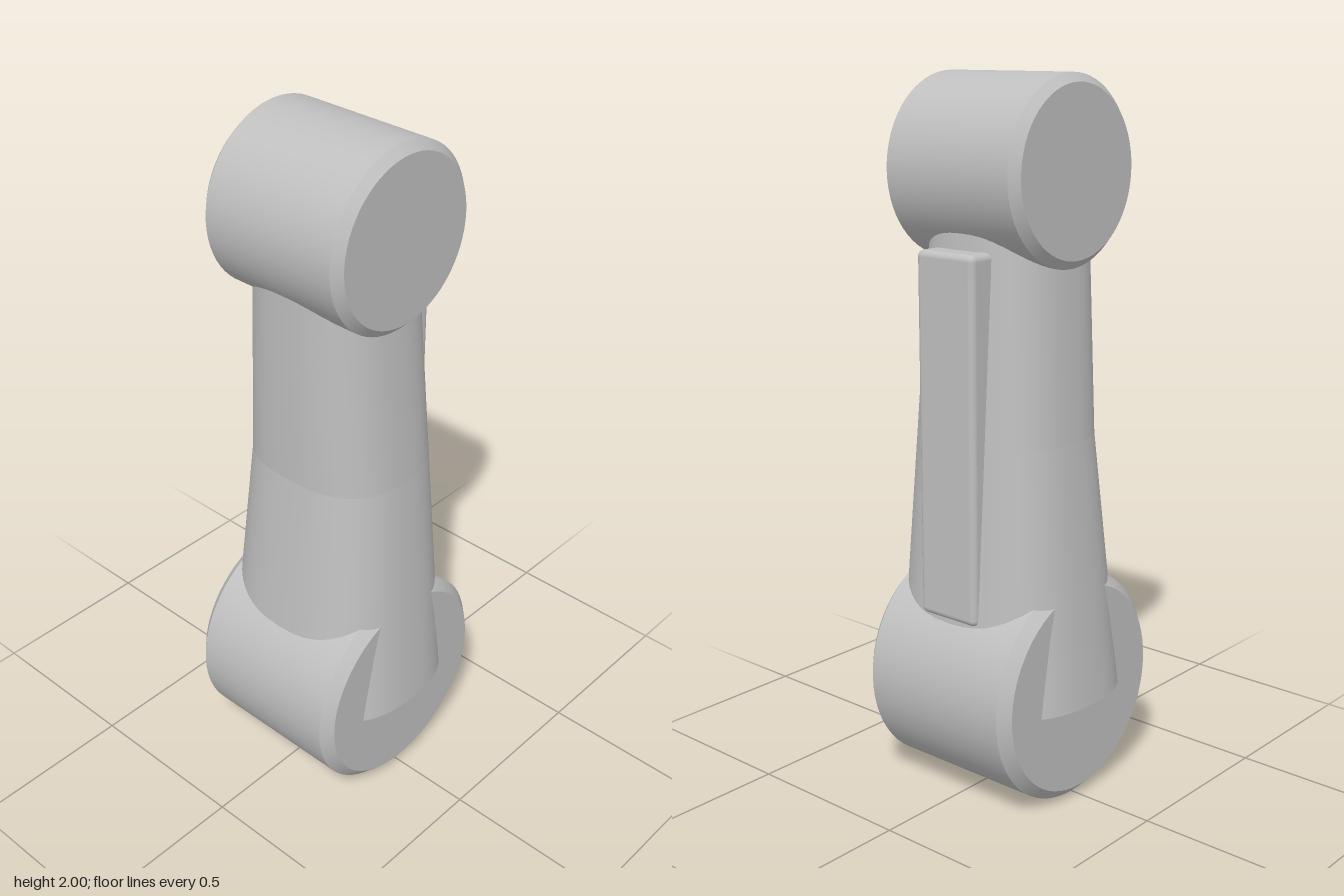
import * as THREE from 'three';
import { toCreasedNormals } from 'three/addons/utils/BufferGeometryUtils.js';
import { RoundedBoxGeometry } from 'three/addons/geometries/RoundedBoxGeometry.js';

const grey = new THREE.MeshStandardMaterial({ color: 0xbfbfbf });
grey.name = 'plain grey';

// Solid drum along z with a chamfer on both rims
function drum(name, y, radius, half, chamfer) {
  const profile = [
    [0, -half], [radius - chamfer, -half], [radius, chamfer - half],
    [radius, half - chamfer], [radius - chamfer, half], [0, half],
  ].map(([r, h]) => new THREE.Vector2(r, h));
  const geometry = toCreasedNormals(new THREE.LatheGeometry(profile, 64), 0.5);
  geometry.rotateX(Math.PI / 2);
  const mesh = new THREE.Mesh(geometry, grey);
  mesh.name = name;
  mesh.position.y = y;
  return mesh;
}

// Arm length between two squarish oval sections {y, x, w, d}
function armSegment(name, low, high) {
  const geometry = new THREE.CylinderGeometry(1, 1, 1, 56, 1);
  const p = geometry.attributes.position;
  const squared = (v) => Math.sign(v) * Math.abs(v) ** (2 / 2.6);
  for (let i = 0; i < p.count; i++) {
    const s = p.getY(i) > 0 ? high : low;
    p.setXYZ(i, s.x + s.w * squared(p.getX(i)), s.y, s.d * squared(p.getZ(i)));
  }
  const mesh = new THREE.Mesh(toCreasedNormals(geometry, 0.6), grey);
  mesh.name = name;
  return mesh;
}

export function createModel() {
  const model = new THREE.Group();
  model.name = 'jointedArm';

  // Joints at either end
  model.add(drum('lowerJoint', 0.325, 0.325, 0.263, 0.03));
  model.add(drum('upperJoint', 1.748, 0.252, 0.234, 0.024));

  // Slightly bent, tapering arm
  const sections = [
    { y: 0.29, x: 0, w: 0.268, d: 0.304 },
    { y: 1.03, x: 0.017, w: 0.209, d: 0.24 },
    { y: 1.7, x: -0.005, w: 0.197, d: 0.19 },
  ];
  model.add(armSegment('lowerArm', sections[0], sections[1]));
  model.add(armSegment('upperArm', sections[1], sections[2]));

  // Cover strip along the left side
  const cover = new THREE.Mesh(new RoundedBoxGeometry(0.09, 1.01, 0.2, 3, 0.018), grey);
  cover.name = 'sideCover';
  cover.position.set(0.217, 1.043, 0);
  model.add(cover);

  return model;
}
